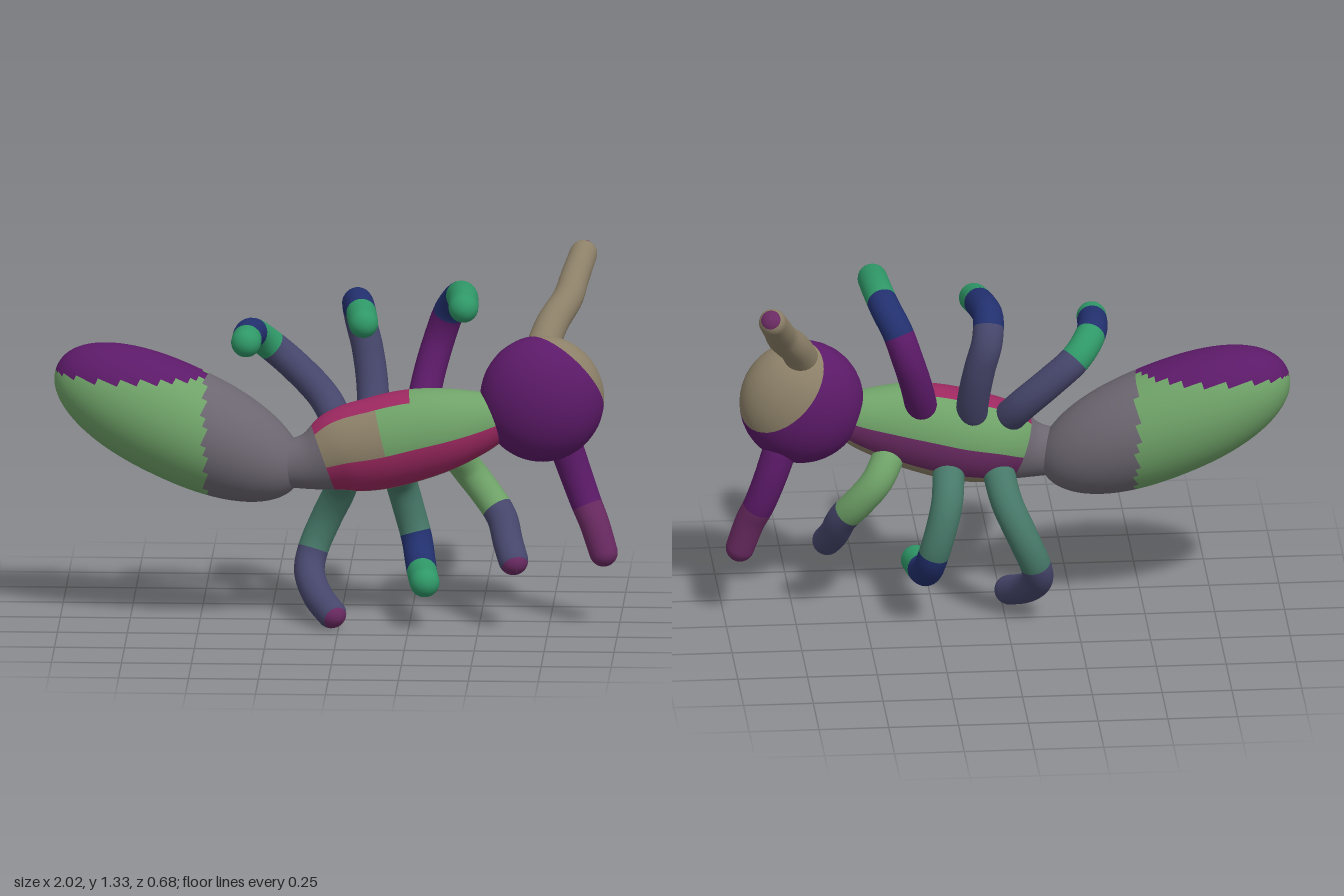
import * as THREE from 'three';

const PURPLE = 0x5c1a68, MAGENTA = 0x9c2860, GREEN = 0x6fa268, GREY = 0x6c6670, TAN = 0x8c8068;
const SLATE = 0x46466c, NAVY = 0x22306e, JADE = 0x2f9868, TEAL = 0x467868, PLUM = 0x6a2a62;
const V = (p) => new THREE.Vector3(...p);

// Skins a smooth body over a spine. radius(u, length) gives the girth, colour(u, angle, point)
// sorts the faces into one mesh per colour; flat squeezes the section in depth.
function skin(name, points, radius, colour, flat = 1, rings = 56, sides = 24) {
  const curve = new THREE.CatmullRomCurve3(points.map(V), false, 'centripetal');
  const length = curve.getLength();
  const normal = new THREE.Vector3(0, 0, -1);
  const pos = [], faces = new Map();
  for (let i = 0; i <= rings; i++) {
    const u = (1 - Math.cos((Math.PI * i) / rings)) / 2; // denser rings at the ends
    const centre = curve.getPointAt(u), tangent = curve.getTangentAt(u);
    normal.addScaledVector(tangent, -normal.dot(tangent)).normalize();
    const side = new THREE.Vector3().crossVectors(tangent, normal);
    const r = Math.max(radius(u, length), 0.0008);
    for (let j = 0; j < sides; j++) {
      const a = (2 * Math.PI * j) / sides;
      const p = centre.clone()
        .addScaledVector(normal, r * flat * Math.cos(a))
        .addScaledVector(side, r * Math.sin(a));
      pos.push(p.x, p.y, p.z);
      if (i === rings) continue;
      const c = colour(u, a, p), k = (j + 1) % sides, row = i * sides, next = row + sides;
      if (!faces.has(c)) faces.set(c, []);
      faces.get(c).push(row + j, row + k, next + j, row + k, next + k, next + j);
    }
  }
  // Shared normals keep the surface smooth across colour borders
  const whole = new THREE.BufferGeometry();
  whole.setAttribute('position', new THREE.Float32BufferAttribute(pos, 3));
  whole.setIndex([...faces.values()].flat());
  whole.computeVertexNormals();
  const group = new THREE.Group();
  group.name = name;
  for (const [c, index] of faces) {
    const geometry = new THREE.BufferGeometry();
    geometry.setAttribute('position', whole.attributes.position);
    geometry.setAttribute('normal', whole.attributes.normal);
    geometry.setIndex(index);
    const mesh = new THREE.Mesh(geometry, new THREE.MeshStandardMaterial({ color: c }));
    mesh.name = name + 'Skin';
    group.add(mesh);
  }
  return group;
}

// Girth of a limb with rounded ends
const limb = (r0, r1) => (u, length) => {
  const r = r0 + (r1 - r0) * u, d = Math.min(u, 1 - u) * length;
  return d < r ? Math.sqrt(r * r - (r - d) ** 2) : r;
};

// Colours in bands along a limb: [end of band, colour]
const bands = (...list) => (u) => list.find(([end]) => u <= end)[1];

export function createModel() {
  const model = new THREE.Group();
  model.name = 'ant';

  // Abdomen: blunt, tilted egg
  model.add(skin('abdomen',
    [[-1.01, 0.935, 0], [-0.58, 0.74, 0.045], [-0.14, 0.545, 0.1]],
    (u) => 0.207 * (1 - Math.abs(2 * u - 1) ** 2.25) ** (1 / 2.1),
    (u, a, p) => (p.x > -0.48 ? GREY : p.y > 0.925 ? PURPLE : GREEN), 0.97, 64, 40));

  // Thorax: spindle joining abdomen and head, striped lengthwise
  const girth = new THREE.SplineCurve(
    [0.08, 0.1, 0.15, 0.167, 0.167, 0.15, 0.115, 0.07].map((r, i) => new THREE.Vector2(i, r)));
  model.add(skin('thorax',
    [[-0.24, 0.6, 0.11], [-0.1, 0.615, 0.11], [0.02, 0.655, 0.1], [0.14, 0.68, 0.1],
      [0.26, 0.71, 0.1], [0.38, 0.735, 0.1], [0.5, 0.76, 0.09], [0.62, 0.79, 0.08]],
    (u) => girth.getPoint(u).y,
    (u, a) => {
      const deg = (a * 180) / Math.PI; // 0 back, 90 top, 180 front, 270 below
      if (u < 0.2) return GREY;
      if (deg < 60) return GREEN;
      if (deg < 125) return u < 0.6 ? MAGENTA : GREEN;
      if (deg < 185) return u < 0.45 ? TAN : GREEN;
      if (deg < 250) return MAGENTA;
      return deg < 310 ? TAN : PLUM;
    }, 0.85, 56, 40));

  // Head: flattened ball with a pale cap on its upper back
  const head = new THREE.Group();
  head.name = 'head';
  const turn = new THREE.Quaternion().setFromUnitVectors(
    new THREE.Vector3(0, 1, 0), V([0.62, 0.62, -0.48]).normalize());
  for (const [name, start, span, color] of [['headCap', 0, 1, TAN], ['headFace', 1, Math.PI - 1, PURPLE]]) {
    const ball = new THREE.SphereGeometry(0.222, 40, 28, 0, Math.PI * 2, start, span);
    ball.applyQuaternion(turn).scale(1, 1.03, 0.72);
    const mesh = new THREE.Mesh(ball, new THREE.MeshStandardMaterial({ color }));
    mesh.name = name;
    head.add(mesh);
  }
  head.position.set(0.725, 0.842, 0.07);
  model.add(head);

  // Antennae
  model.add(skin('upperAntenna',
    [[0.71, 0.98, 0.06], [0.755, 1.09, -0.04], [0.81, 1.17, -0.13], [0.83, 1.225, -0.2], [0.87, 1.325, -0.325]],
    limb(0.062, 0.048), bands([0.97, TAN], [1, PLUM])));
  model.add(skin('lowerAntenna',
    [[0.79, 0.72, 0.04], [0.84, 0.57, 0.03], [0.88, 0.46, 0.04], [0.91, 0.39, 0.06], [0.96, 0.235, 0.085]],
    limb(0.062, 0.05), bands([0.55, PURPLE], [1, PLUM])));

  // Three legs on the upper side and three on the lower, each bent forward at the knee
  const legs = [
    ['upperRearLeg',
      [[0, 0.74, 0.07], [-0.06, 0.83, 0], [-0.16, 0.93, -0.03], [-0.25, 1.01, -0.02], [-0.31, 1.07, 0.06], [-0.33, 1.07, 0.28]],
      bands([0.5, SLATE], [0.68, JADE], [0.86, NAVY], [1, JADE])],
    ['upperMiddleLeg',
      [[0.12, 0.75, 0.05], [0.115, 0.87, -0.01], [0.095, 1, -0.05], [0.07, 1.1, -0.055], [0.062, 1.17, 0], [0.075, 1.175, 0.1], [0.1, 1.14, 0.295]],
      bands([0.55, SLATE], [0.8, NAVY], [1, JADE])],
    ['upperFrontLeg',
      [[0.29, 0.78, 0.05], [0.32, 0.92, -0.02], [0.355, 1.04, -0.05], [0.39, 1.14, -0.03], [0.425, 1.2, 0.03], [0.445, 1.225, 0.14], [0.455, 1.215, 0.34]],
      bands([0.45, PURPLE], [0.65, NAVY], [1, JADE])],
    ['lowerRearLeg',
      [[0.03, 0.6, 0.05], [0, 0.48, -0.05], [-0.05, 0.37, -0.095], [-0.1, 0.25, -0.09], [-0.112, 0.18, -0.05], [-0.08, 0.11, 0.04], [0, 0.045, 0.18]],
      bands([0.52, TEAL], [0.97, SLATE], [1, PLUM])],
    ['lowerMiddleLeg',
      [[0.2, 0.6, 0.05], [0.215, 0.5, -0.08], [0.24, 0.4, -0.11], [0.27, 0.29, -0.1], [0.285, 0.22, -0.04], [0.295, 0.195, 0.04], [0.315, 0.18, 0.205]],
      bands([0.48, TEAL], [0.75, NAVY], [1, JADE])],
    ['lowerFrontLeg',
      [[0.4, 0.66, 0.06], [0.46, 0.56, -0.01], [0.53, 0.47, 0], [0.58, 0.4, 0.04], [0.605, 0.32, 0.1], [0.64, 0.235, 0.195]],
      bands([0.5, GREEN], [0.95, SLATE], [1, PLUM])],
  ];
  for (const [name, points, colour] of legs) model.add(skin(name, points, limb(0.058, 0.053), colour));

  return model;
}
